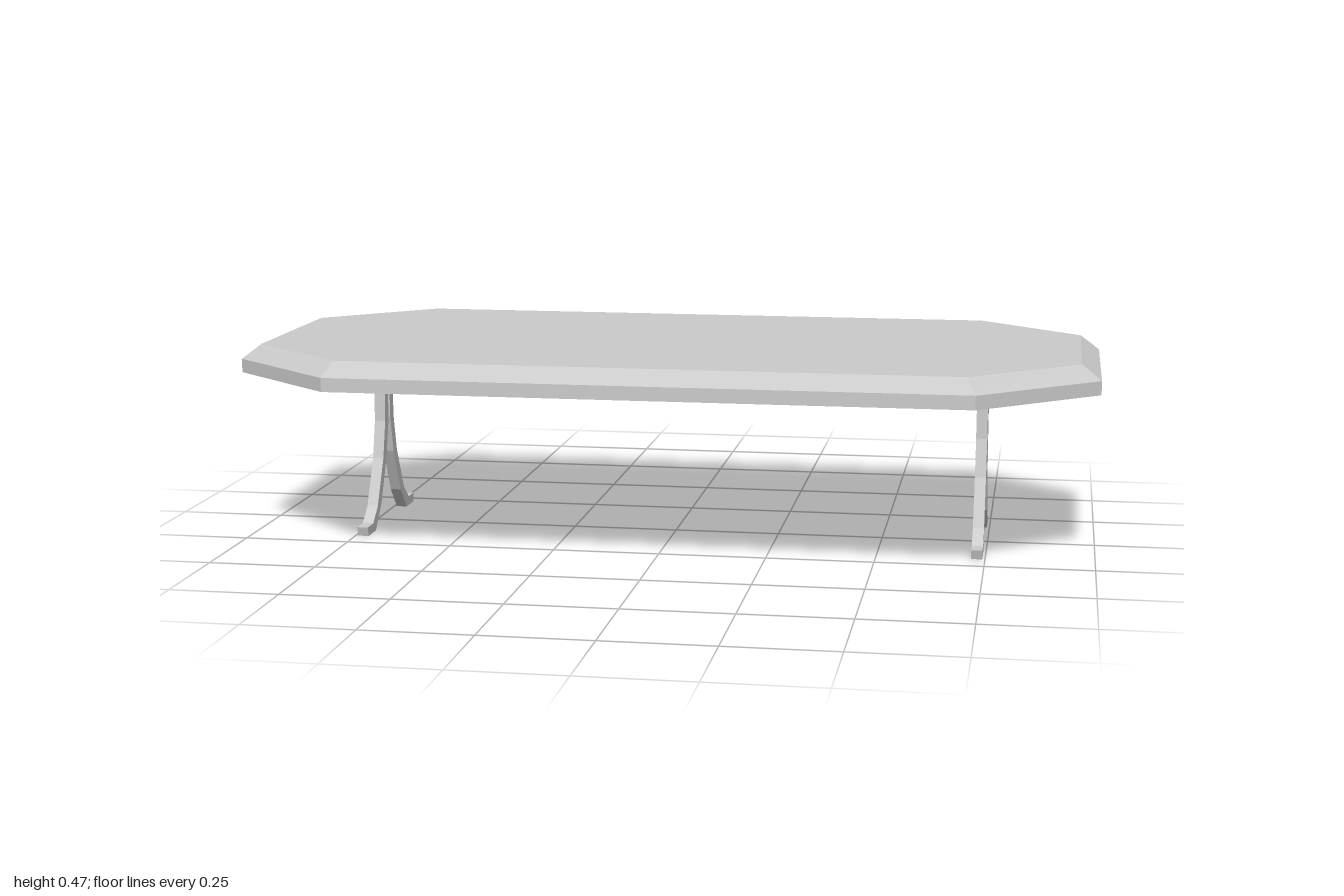
import * as THREE from 'three';

const material = new THREE.MeshStandardMaterial({ color: 0xcccccc, flatShading: true });

// Elongated octagon ring, counter-clockwise seen from above
function octagon(xEnd, zEnd, xSide, zSide, y) {
  return [
    [xEnd, zEnd], [xEnd, -zEnd], [xSide, -zSide], [-xSide, -zSide],
    [-xEnd, -zEnd], [-xEnd, zEnd], [-xSide, zSide], [xSide, zSide],
  ].map(([x, z]) => [x, y, z]);
}

// Closed, flat-faced solid through a stack of rings
function loft(rings) {
  const pos = [];
  const tri = (a, b, c) => pos.push(...a, ...b, ...c);
  const n = rings[0].length;
  for (let r = 0; r < rings.length - 1; r++) {
    const lo = rings[r], hi = rings[r + 1];
    for (let i = 0; i < n; i++) {
      const j = (i + 1) % n;
      tri(lo[i], lo[j], hi[j]);
      tri(lo[i], hi[j], hi[i]);
    }
  }
  const bottom = rings[0], top = rings[rings.length - 1];
  for (let i = 1; i < n - 1; i++) {
    tri(top[0], top[i], top[i + 1]);
    tri(bottom[0], bottom[i + 1], bottom[i]);
  }
  const geo = new THREE.BufferGeometry();
  geo.setAttribute('position', new THREE.Float32BufferAttribute(pos, 3));
  geo.computeVertexNormals();
  return geo;
}

// Curved leg outline as [z, y], measured from the middle of the leg pair
const legOutline = [
  [0.006, 0.4], [0.007, 0.255], [0.031, 0.164], [0.085, 0.055], [0.136, 0],
  [0.197, 0], [0.203, 0.022], [0.157, 0.022], [0.116, 0.055], [0.059, 0.164],
  [0.037, 0.252], [0.032, 0.4],
];
const legThickness = 0.026;

function legGeometry(side) {
  const shape = new THREE.Shape(legOutline.map(([z, y]) => new THREE.Vector2(side * z, y)));
  return new THREE.ExtrudeGeometry(shape, { depth: legThickness, bevelEnabled: false })
    .translate(0, 0, -legThickness / 2)
    .rotateY(-Math.PI / 2);
}

export function createModel() {
  const table = new THREE.Group();
  table.name = 'table';

  // Table top with a sloped rim
  const top = new THREE.Mesh(loft([
    octagon(1, 0.24, 0.73, 0.48, 0.4),
    octagon(1, 0.24, 0.73, 0.48, 0.432),
    octagon(0.955, 0.228, 0.71, 0.45, 0.467),
  ]), material);
  top.name = 'tableTop';
  table.add(top);

  // A pair of splayed legs near each end
  for (const [end, x] of [['left', 0.731], ['right', -0.731]]) {
    const pair = new THREE.Group();
    pair.name = `${end}LegPair`;
    pair.position.set(x, 0, -0.014);
    for (const [name, side] of [['frontLeg', 1], ['backLeg', -1]]) {
      const leg = new THREE.Mesh(legGeometry(side), material);
      leg.name = name;
      pair.add(leg);
    }
    table.add(pair);
  }
  return table;
}
